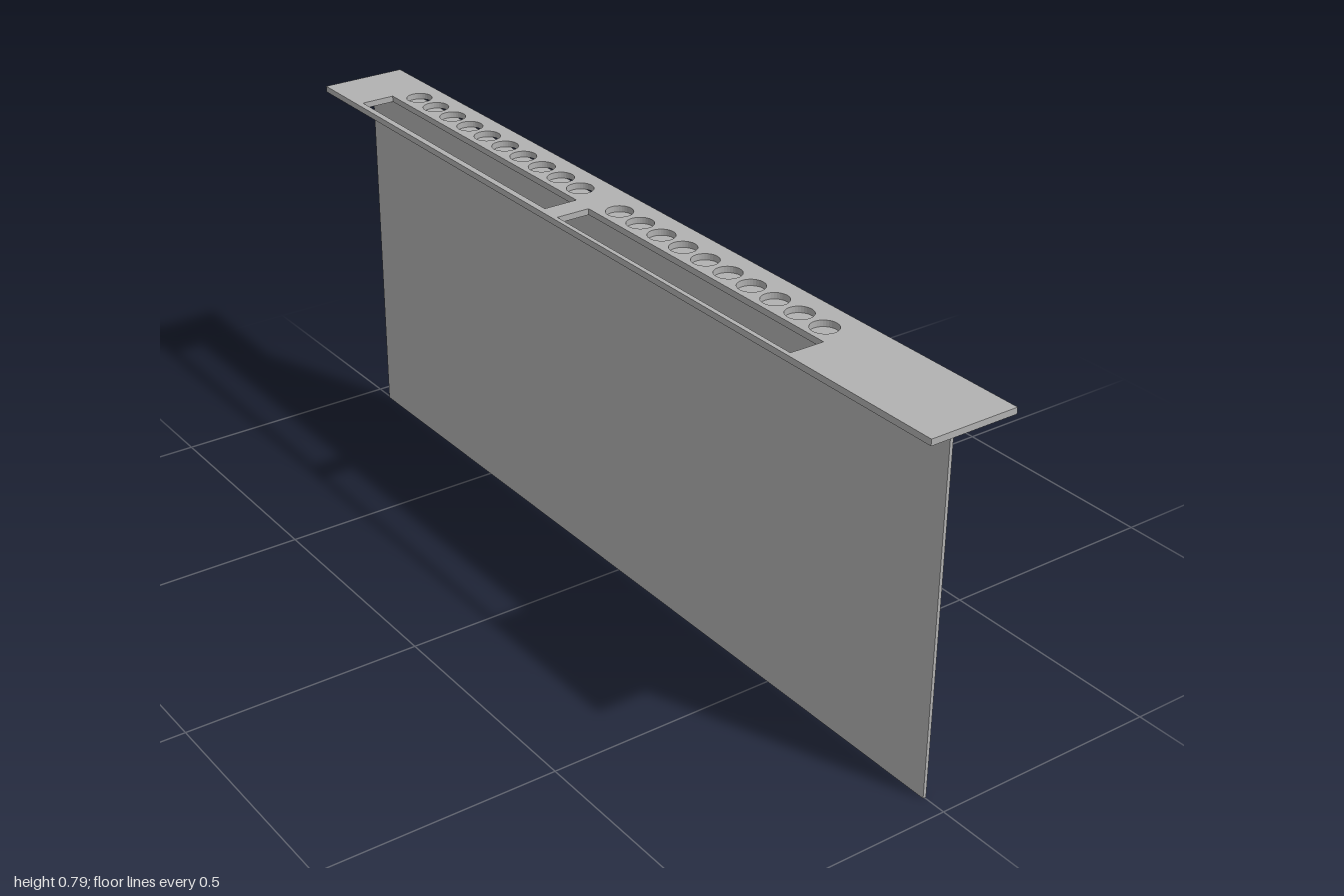
import * as THREE from 'three';

const grey = new THREE.MeshStandardMaterial({ color: 0xb2b2b2 });
grey.name = 'plain grey';

// Axis-aligned box given by its limits
function box(name, x0, x1, y0, y1, z0, z1) {
  const mesh = new THREE.Mesh(new THREE.BoxGeometry(x1 - x0, y1 - y0, z1 - z0), grey);
  mesh.position.set((x0 + x1) / 2, (y0 + y1) / 2, (z0 + z1) / 2);
  mesh.name = name;
  return mesh;
}

// Closed rectangle in the plate's plane (shape y is -z)
function rectangle(path, x0, x1, z0, z1) {
  path.moveTo(x0, -z0);
  path.lineTo(x0, -z1);
  path.lineTo(x1, -z1);
  path.lineTo(x1, -z0);
  path.closePath();
  return path;
}

// Top plate with two long slots and two rows of ten round holes
function topPlate() {
  const shape = rectangle(new THREE.Shape(), -0.095, 0.095, -1, 1);
  const sections = [
    { slot: [-0.081, -0.006, -0.86, -0.142], x: 0.037, z: -0.817 },
    { slot: [-0.085, -0.011, -0.092, 0.628], x: 0.031, z: -0.046 },
  ];
  for (const { slot, x, z } of sections) {
    shape.holes.push(rectangle(new THREE.Path(), ...slot));
    for (let i = 0; i < 10; i++) {
      const hole = new THREE.Path();
      hole.absarc(x - i * 0.0003, -(z + i * 0.07), 0.028, 0, Math.PI * 2, true);
      shape.holes.push(hole);
    }
  }
  const geometry = new THREE.ExtrudeGeometry(shape, {
    depth: 0.013, bevelEnabled: false, curveSegments: 16,
  });
  geometry.rotateX(-Math.PI / 2);
  const mesh = new THREE.Mesh(geometry, grey);
  mesh.position.y = 0.777;
  mesh.name = 'topPlate';
  return mesh;
}

export function createModel() {
  const group = new THREE.Group();
  group.name = 'slottedPanel';
  group.add(topPlate());
  // Thin upright panel and the narrow lip folded under the plate
  group.add(box('uprightPanel', -0.004, 0.003, 0, 0.777, -0.95, 0.95));
  group.add(box('foldedLip', 0.003, 0.059, 0.769, 0.777, -0.95, 0.95));
  return group;
}
